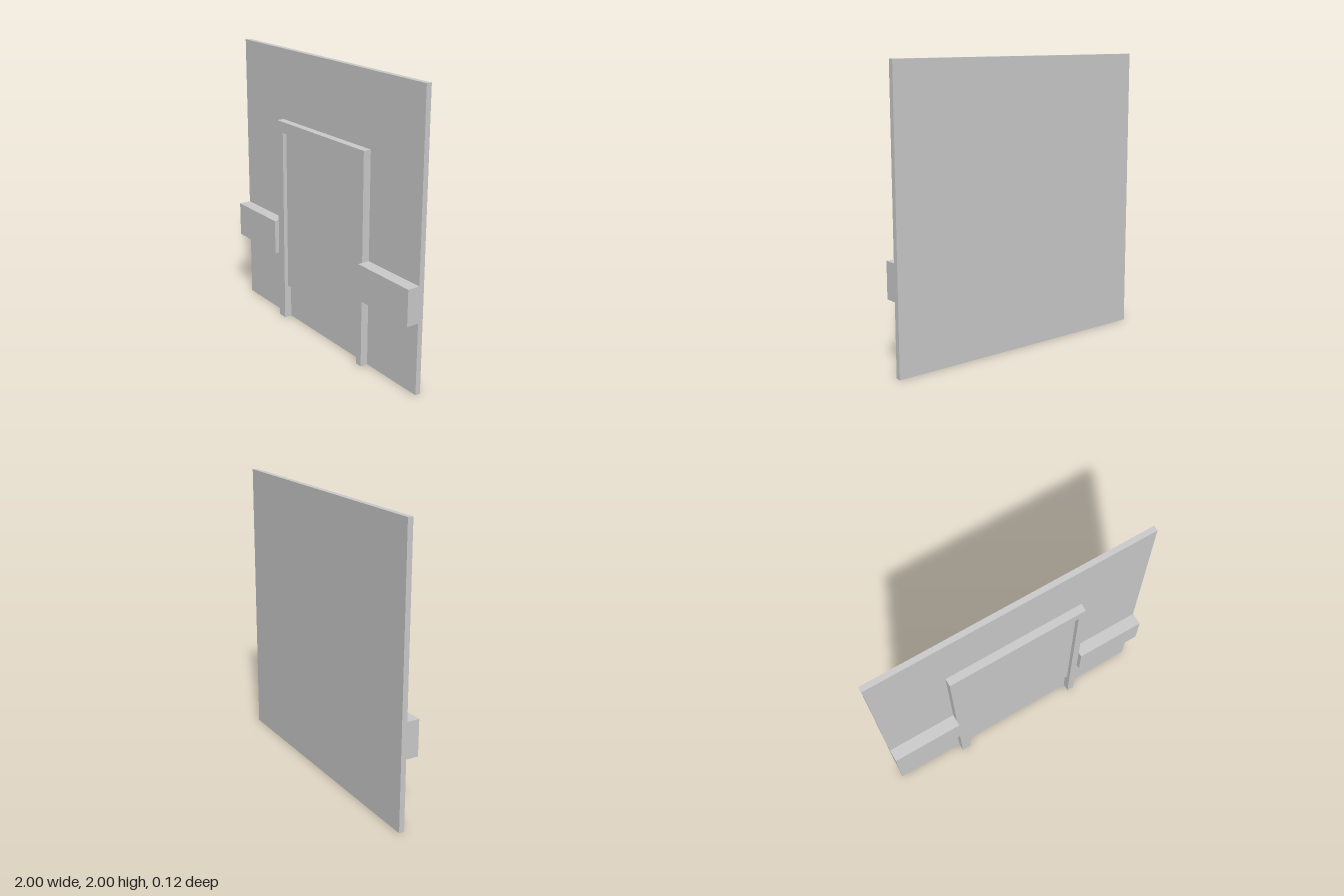
import * as THREE from 'three';

const WALL_BACK = -0.0625, WALL_FRONT = -0.025;

export function createModel() {
  const model = new THREE.Group();
  model.name = 'wallWithDoorway';
  const material = new THREE.MeshStandardMaterial({ color: 0xcccccc, flatShading: true });

  const add = (name, geometry) => {
    const mesh = new THREE.Mesh(geometry, material);
    mesh.name = name;
    model.add(mesh);
  };
  // Box given by its limits on each axis
  const box = (name, [x0, x1], [y0, y1], [z0, z1]) => {
    const geometry = new THREE.BoxGeometry(x1 - x0, y1 - y0, z1 - z0);
    geometry.translate((x0 + x1) / 2, (y0 + y1) / 2, (z0 + z1) / 2);
    add(name, geometry);
  };

  // Flat wall slab
  box('wall', [-1, 1], [0, 2], [WALL_BACK, WALL_FRONT]);

  // Door frame: an upside-down U standing on the ground
  const outline = [[-0.5, 0], [-0.43, 0], [-0.43, 1.42], [0.45, 1.42],
    [0.45, 0], [0.5, 0], [0.5, 1.5], [-0.5, 1.5]];
  const frameShape = new THREE.Shape(outline.map(([x, y]) => new THREE.Vector2(x, y)));
  const frame = new THREE.ExtrudeGeometry(frameShape, { depth: 0.03 - WALL_FRONT, bevelEnabled: false });
  frame.translate(0, 0, WALL_FRONT);
  add('doorFrame', frame);

  // Raised door panel, ending above the ground
  box('doorPanel', [-0.43, 0.45], [0.25, 1.42], [WALL_FRONT, 0]);

  // Thick rails on both sides of the door
  box('rightRail', [-1, -0.5], [0.5, 0.75], [WALL_FRONT, 0.0625]);
  box('leftRail', [0.5, 1], [0.5, 0.75], [WALL_FRONT, 0.0625]);

  return model;
}
